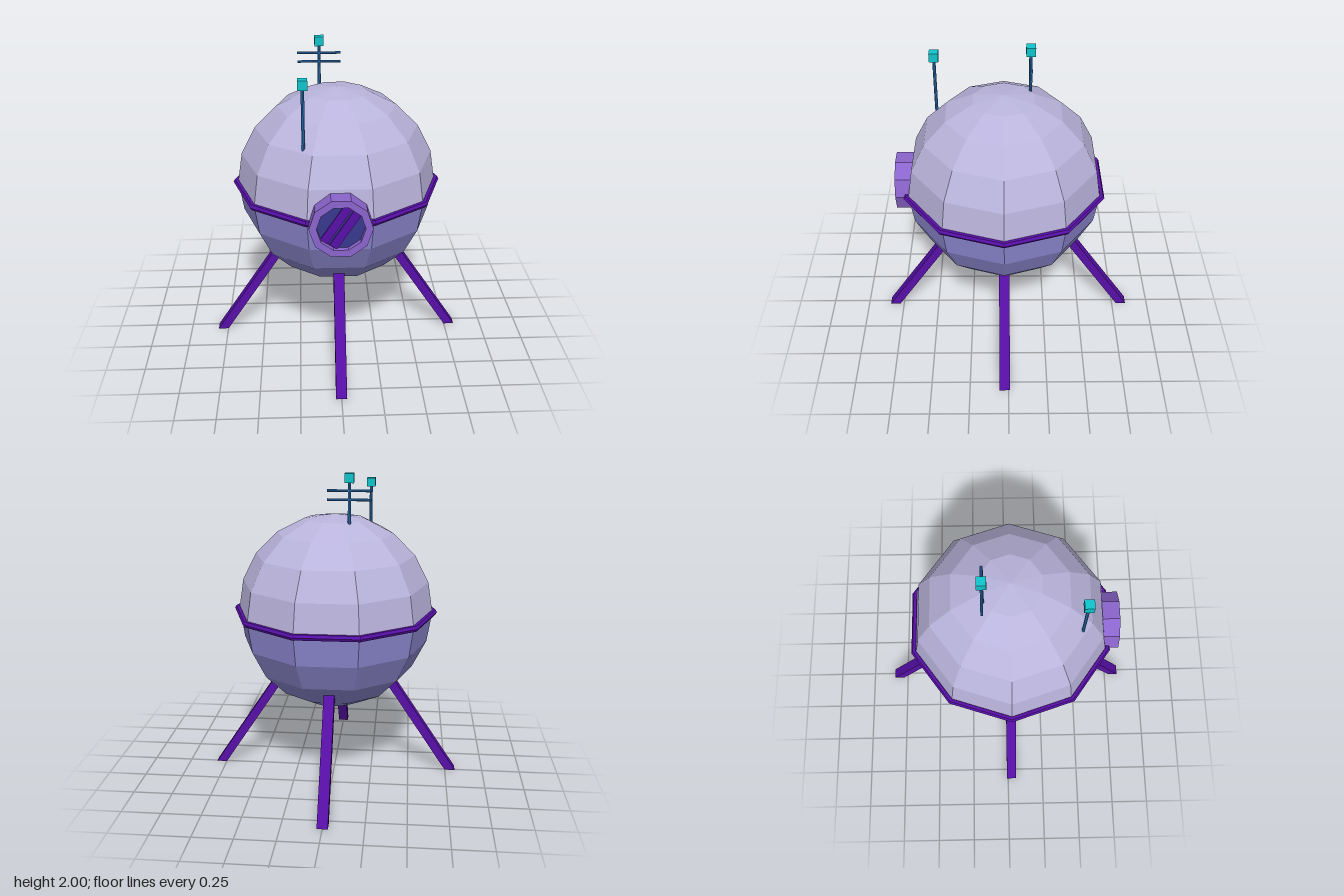
import * as THREE from 'three';

const mat = (name, color, extra = {}) => {
  const m = new THREE.MeshStandardMaterial({ color, flatShading: true, ...extra });
  m.name = name;
  return m;
};

export function createModel() {
  const upper = mat('pale lilac hull', 0xbab4dc);
  const lower = mat('blue lilac hull', 0x8c87cf);
  const purple = mat('deep purple', 0x560fa6);
  const violet = mat('violet frame', 0x8a64cc);
  const glass = mat('dark blue glass', 0x38388f);
  const blue = mat('antenna blue', 0x2f7cc6);
  const cyan = mat('cyan tip', 0x10c4cc);

  const model = new THREE.Group();
  model.name = 'spherePod';
  const CY = 1.1, CZ = 0.025, R = 0.63, SIDES = 10;

  const add = (name, geometry, material, x = 0, y = 0, z = 0) => {
    const mesh = new THREE.Mesh(geometry, material);
    mesh.name = name;
    mesh.position.set(x, y, z);
    model.add(mesh);
    return mesh;
  };

  // Faceted hull in two colours, joined by a belt
  const half = (start) => new THREE.SphereGeometry(R, SIDES, 5, 0, Math.PI * 2, start, Math.PI / 2);
  add('upperHull', half(0), upper, 0, CY, CZ);
  add('lowerHull', half(Math.PI / 2), lower, 0, CY, CZ);
  add('belt', new THREE.TorusGeometry(0.64, 0.02, 6, SIDES).rotateX(Math.PI / 2), purple, 0, CY, CZ);

  // Slanted legs with level feet: boxes sheared towards the hull
  const makeLeg = (foot) => {
    const g = new THREE.BoxGeometry(0.067, 0.75, 0.067).translate(0, 0.375, 0);
    const p = g.attributes.position;
    for (let i = 0; i < p.count; i++) p.setX(i, p.getX(i) + foot - 0.66 * p.getY(i));
    g.computeVertexNormals();
    return g;
  };
  [['leftLeg', 0.783], ['backLeg', 0.838], ['rightLeg', 0.783], ['frontLeg', 0.786]].forEach(([name, foot], i) => {
    add(name, makeLeg(foot), purple, 0, 0, CZ).rotation.y = i * Math.PI / 2;
  });

  // Porthole: ten-sided frame, recessed pane and two diagonal bars
  const decagon = (Type, r) => {
    const pts = [];
    for (let i = 0; i < SIDES; i++) {
      const a = i / SIDES * Math.PI * 2;
      pts.push(new THREE.Vector2(Math.cos(a) * r, Math.sin(a) * r));
    }
    return new Type(pts);
  };
  const frame = decagon(THREE.Shape, 0.186);
  frame.holes.push(decagon(THREE.Path, 0.142));
  add('portholeFrame', new THREE.ExtrudeGeometry(frame, { depth: 0.21, bevelEnabled: false }), violet, 0, CY - 0.003, 0.497);
  add('portholeGlass', new THREE.ShapeGeometry(decagon(THREE.Shape, 0.144)), glass, 0, CY - 0.003, 0.672);
  const tilt = THREE.MathUtils.degToRad(57);
  for (const s of [-1, 1]) {
    add('portholeBar', new THREE.BoxGeometry(0.262, 0.052, 0.009), purple,
      -Math.sin(tilt) * 0.032 * s, CY - 0.003 + Math.cos(tilt) * 0.032 * s, 0.678).rotation.z = tilt;
  }

  // Antennas with cube tips
  const antenna = (name, x, z, bottom, top) => {
    const h = top - bottom;
    add(name + 'Pole', new THREE.CylinderGeometry(0.01, 0.01, h, 8), blue, x, bottom + h / 2, z);
    add(name + 'Tip', new THREE.BoxGeometry(0.057, 0.057, 0.057), cyan, x, top, z);
  };
  antenna('frontAntenna', -0.208, 0.45, 1.44, 1.878);
  antenna('topAntenna', -0.102, -0.138, 1.62, 1.972);
  for (const y of [1.84, 1.895]) {
    add('antennaCrossbar', new THREE.CylinderGeometry(0.008, 0.008, 0.27, 8).rotateZ(Math.PI / 2), blue, -0.102, y, -0.138);
  }

  return model;
}
